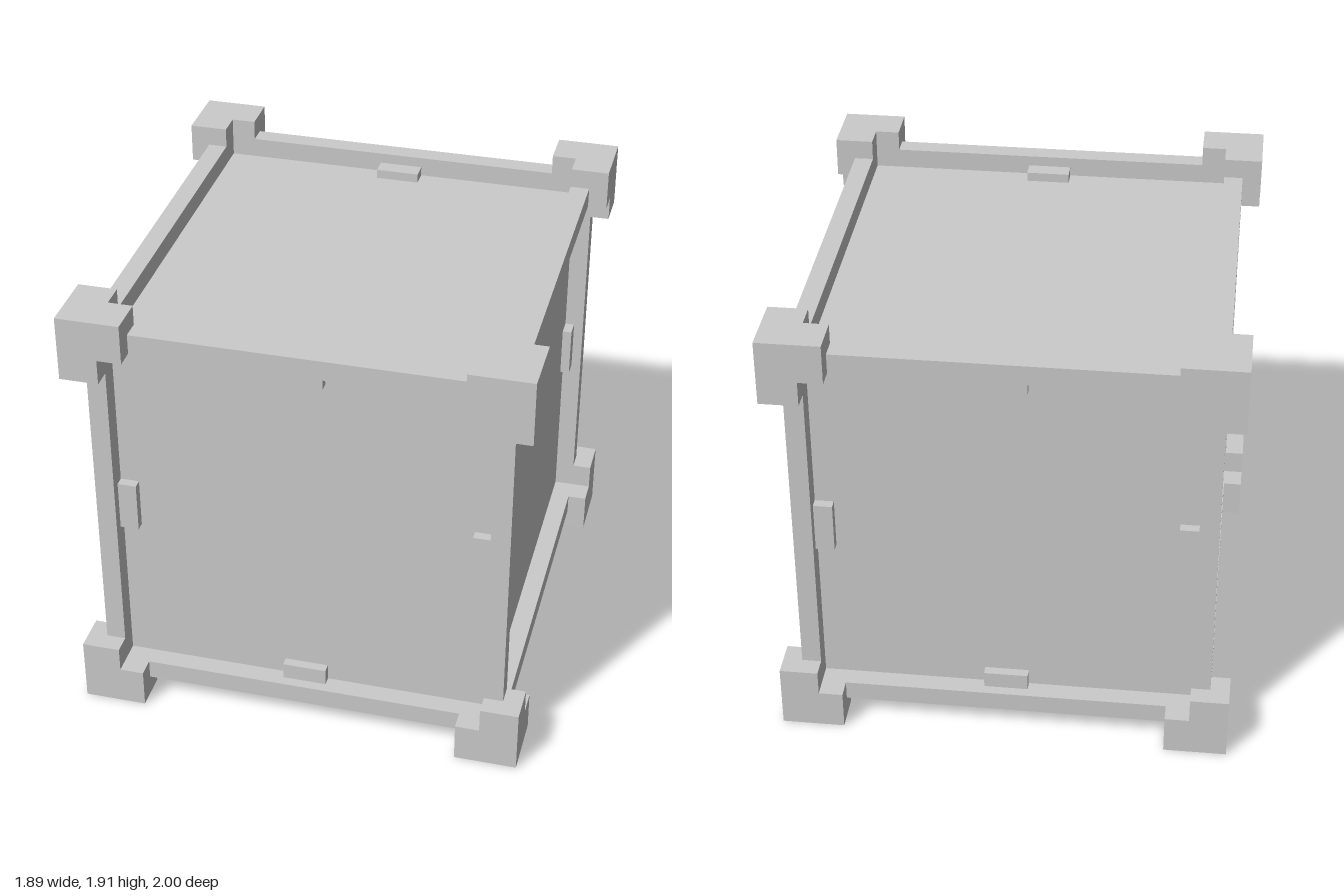
import * as THREE from 'three';

// Half sizes along x, y, z for each layer of the crate
const OUTER = [0.947, 0.953, 1.0];   // corner guards
const BEAM = [0.866, 0.868, 0.918];  // edge beams
const PANEL = [0.785, 0.783, 0.835]; // recessed panels
const ARM = [0.683, 0.675, 0.73];    // inner ends of the guard arms
const CLASP_IN = [0.706, 0.711, 0.762];
const CLASP_OUT = [0.825, 0.823, 0.875];
const CLASP_HALF = [0.093, 0.109];   // clasp half length on x and y edges

const material = new THREE.MeshStandardMaterial({ color: 0xcccccc, flatShading: true });
const SIGNS = [-1, 1];

// Box spanning [min, max] on each axis, mirrored by the signs in s
function addBox(parent, name, min, max, s = [1, 1, 1]) {
  const size = max.map((v, i) => v - min[i]);
  const mesh = new THREE.Mesh(new THREE.BoxGeometry(...size), material);
  mesh.position.set(...max.map((v, i) => s[i] * (v + min[i]) / 2));
  mesh.name = name;
  parent.add(mesh);
}

// Corner guard: a block with one short arm along each edge
function addCorner(parent, s) {
  const corner = new THREE.Group();
  corner.name = 'cornerGuard';
  addBox(corner, 'cornerBlock', PANEL, OUTER, s);
  for (let axis = 0; axis < 3; axis++) {
    const min = [...PANEL], max = [...OUTER];
    min[axis] = ARM[axis];
    max[axis] = PANEL[axis];
    addBox(corner, 'cornerArm', min, max, s);
  }
  parent.add(corner);
}

export function createModel() {
  const model = new THREE.Group();
  model.name = 'crate';
  const body = new THREE.Group();
  body.name = 'crateBody';
  body.position.y = OUTER[1];
  model.add(body);

  // Recessed side, top and bottom panels
  addBox(body, 'panels', PANEL.map((v) => -v), PANEL);

  // Four beams parallel to each axis, with clasps on the x and y edges
  for (let axis = 0; axis < 3; axis++) {
    for (const a of SIGNS) for (const b of SIGNS) {
      const s = [1, 1, 1];
      s[(axis + 1) % 3] = a;
      s[(axis + 2) % 3] = b;
      const min = [...PANEL], max = [...BEAM];
      min[axis] = -PANEL[axis];
      max[axis] = PANEL[axis];
      addBox(body, 'edgeBeam', min, max, s);

      if (axis < 2) {
        const inner = [...CLASP_IN], outer = [...CLASP_OUT];
        inner[axis] = -CLASP_HALF[axis];
        outer[axis] = CLASP_HALF[axis];
        addBox(body, 'clasp', inner, outer, s);
      }
    }
  }

  // Guards on all eight corners
  for (const x of SIGNS) for (const y of SIGNS) for (const z of SIGNS) addCorner(body, [x, y, z]);

  return model;
}
